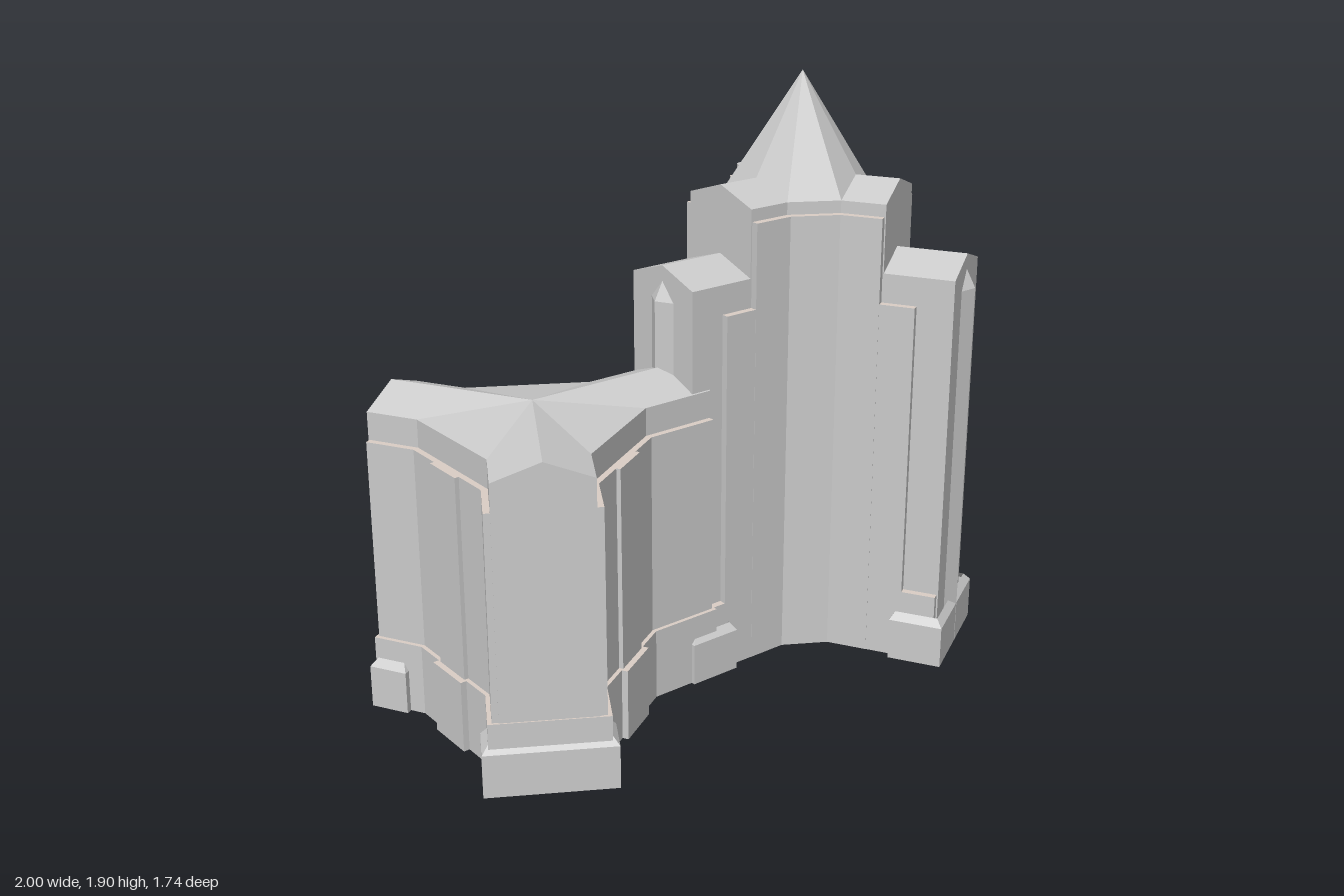
import * as THREE from 'three';

const grey = new THREE.MeshStandardMaterial({ color: 0xcccccc, side: THREE.DoubleSide });
const stone = new THREE.MeshStandardMaterial({ color: 0xdccfc6, side: THREE.DoubleSide });

// Plan coordinates are [x, -z], counter-clockwise seen from above.
const at = (a, u, v) => [u * Math.cos(a) - v * Math.sin(a), u * Math.sin(a) + v * Math.cos(a)];
const p3 = ([x, y], h) => [x, h, -y];
const shift = (pts, dx, dy) => pts.map(([x, y]) => [x + dx, y + dy]);

function faces(polys, name) {
  const pos = [];
  for (const p of polys)
    for (let i = 1; i < p.length - 1; i++) pos.push(...p[0], ...p[i], ...p[i + 1]);
  const g = new THREE.BufferGeometry();
  g.setAttribute('position', new THREE.Float32BufferAttribute(pos, 3));
  g.computeVertexNormals();
  const mesh = new THREE.Mesh(g, grey);
  mesh.name = name;
  return mesh;
}

// Walls through a stack of [outline, height] rings
function loft(rings, name) {
  const polys = [];
  for (let k = 0; k < rings.length - 1; k++) {
    const [a, y0] = rings[k], [b, y1] = rings[k + 1];
    a.forEach((p, i) => {
      const j = (i + 1) % a.length;
      polys.push([p3(p, y0), p3(a[j], y0), p3(b[j], y1), p3(b[i], y1)]);
    });
  }
  return faces(polys, name);
}

// Flat ledge, optionally with a hole
function cap(pts, y, name, hole, material = stone) {
  const v = (q) => q.map(([x, z]) => new THREE.Vector2(x, z));
  const shape = new THREE.Shape(v(pts));
  if (hole) shape.holes.push(new THREE.Path(v(hole)));
  const mesh = new THREE.Mesh(new THREE.ShapeGeometry(shape).rotateX(-Math.PI / 2), material);
  mesh.position.y = y;
  mesh.name = name;
  return mesh;
}

// Three-armed outline: arm lengths, half width, and where the splayed corners start
function outline(arms, lens, hw, uc) {
  return arms.flatMap((a, i) => [[uc, -hw], [lens[i], -hw], [lens[i], hw], [uc, hw]].map(([u, v]) => at(a, u, v)));
}

// Gabled arms meeting in a central peak
function roof(arms, lens, hw, uc, eave, ridge, peak, name) {
  const polys = [], top = [0, peak, 0];
  arms.forEach((a, i) => {
    const P = (u, v, y) => p3(at(a, u, v), y);
    const A = P(uc, -hw, eave), B = P(lens[i], -hw, eave), R = P(lens[i], 0, ridge);
    const D = P(lens[i], hw, eave), E = P(uc, hw, eave), M = P(uc, 0, ridge);
    const next = p3(at(arms[(i + 1) % 3], uc, -hw), eave);
    polys.push([A, B, R, M], [B, D, R], [D, E, M, R], [A, M, top], [M, E, top], [E, next, top]);
  });
  return faces(polys, name);
}

const rect = (a, u0, u1, hw) => [[u0, -hw], [u1, -hw], [u1, hw], [u0, hw]].map(([u, v]) => at(a, u, v));

// Footing around an arm end with a bevelled top
function footing(a, u0, u1, hw) {
  const g = new THREE.Group(), top = rect(a, u0 + 0.015, u1 - 0.02, hw - 0.02);
  const base = rect(a, u0, u1, hw);
  g.add(loft([[base, 0], [base, 0.14], [top, 0.165]], 'footingWalls'));
  g.name = 'footing';
  return g;
}

const angles = (deg) => [0, 120, 240].map((d) => THREE.MathUtils.degToRad(deg + d));

function shell(arms, lens, hw, uc, y, name, hole) {
  const g = new THREE.Group(), o = outline(arms, lens, hw, uc);
  g.add(loft([[o, 0], [o, y]], name + 'Walls'), cap(o, y, name + 'Ledge', hole));
  g.name = name;
  return g;
}

function createTower() {
  const g = new THREE.Group(), arms = angles(96), all = (l) => [l, l, l];
  const hw = 0.15, uc = 0.185, len = 0.558;
  const low = outline(arms, all(len), hw, uc), high = outline(arms, all(0.33), hw, uc);
  g.add(loft([[low, 0], [low, 1.31]], 'armWalls'));
  g.add(roof(arms, all(len), hw, uc, 1.31, 1.36, 1.36, 'armRoof'));
  g.add(loft([[high, 1.3], [high, 1.53]], 'upperWalls'));
  g.add(roof(arms, all(0.33), hw, uc, 1.53, 1.58, 1.9, 'spireRoof'));
  // Stepped outer walls
  g.add(shell(arms, all(0.553), 0.173, 0.191, 0.235, 'lowerWall'));
  g.add(shell(arms, all(0.44), 0.173, 0.191, 1.215, 'middleWall'));
  g.add(shell(arms, all(0.326), 0.174, 0.191, 1.49, 'tallWall'));
  for (const a of arms) {
    g.add(footing(a, 0.41, 0.587, 0.2));
    // Pointed pilaster on the arm end
    const tri = [at(a, len, -0.055), at(a, len + 0.03, 0), at(a, len, 0.055)];
    const tip = at(a, len, 0);
    g.add(loft([[tri, 0], [tri, 1.25], [[tip, tip, tip], 1.31]], 'pilaster'));
  }
  g.name = 'tower';
  g.position.set(0.38, 0, -0.27);
  return g;
}

function createWing() {
  const g = new THREE.Group(), arms = angles(36);
  const hw = 0.147, uc = 0.31, lens = [0.56, 0.482, 0.482];
  const core = outline(arms, lens, hw, uc);
  g.add(loft([[core, 0], [core, 0.98]], 'wingWalls'));
  g.add(roof(arms, lens, hw, uc, 0.98, 1.035, 1.035, 'wingRoof'));
  g.add(shell(arms, lens.map((l) => l - 0.004), 0.167, 0.315, 0.89, 'outerWall'));
  g.add(shell(arms, lens.map((l) => l + 0.004), 0.18, 0.319, 0.235, 'plinth', core));
  arms.forEach((a, i) => {
    if (i > 0) g.add(footing(a, 0.37, 0.497, 0.2));
    // Buttress on each splayed corner
    const b = a + Math.PI / 3;
    for (const [u, w, y] of [[0.335, 0.08, 0.235], [0.316, 0.07, 0.89]]) {
      const r = rect(b, 0.27, u, w);
      g.add(loft([[r, 0], [r, y]], 'buttress'), cap(r, y, 'buttressTop'));
    }
  });
  g.name = 'wing';
  g.position.set(-0.465, 0, 0.353);
  return g;
}

// Low terrace with a small lantern, beside the tower
function createTerrace() {
  const g = new THREE.Group(), cx = 0.03, cy = 0.417;
  const base = [[-0.1, 0.4], [0.015, 0.23], [0.19, 0.3], [0.18, 0.55], [-0.045, 0.53]];
  const top = base.map(([x, y]) => [cx + (x - cx) * 0.92, cy + (y - cy) * 0.92]);
  const hex = (r) => shift([0, 1, 2, 3, 4, 5].map((i) => at(i * Math.PI / 3, r, 0)), cx, cy);
  g.add(loft([[base, 0], [base, 0.035], [top, 0.045]], 'terraceWalls'));
  g.add(cap(top, 0.045, 'terraceTop', hex(0.074)));
  g.add(loft([[hex(0.074), 0.045], [hex(0.065), 0.06], [hex(0.045), 0.065], [hex(0), 0.1]], 'lantern'));
  g.name = 'terrace';
  return g;
}

export function createModel() {
  const model = new THREE.Group();
  model.name = 'building';
  model.add(createTower(), createWing(), createTerrace());
  return model;
}
